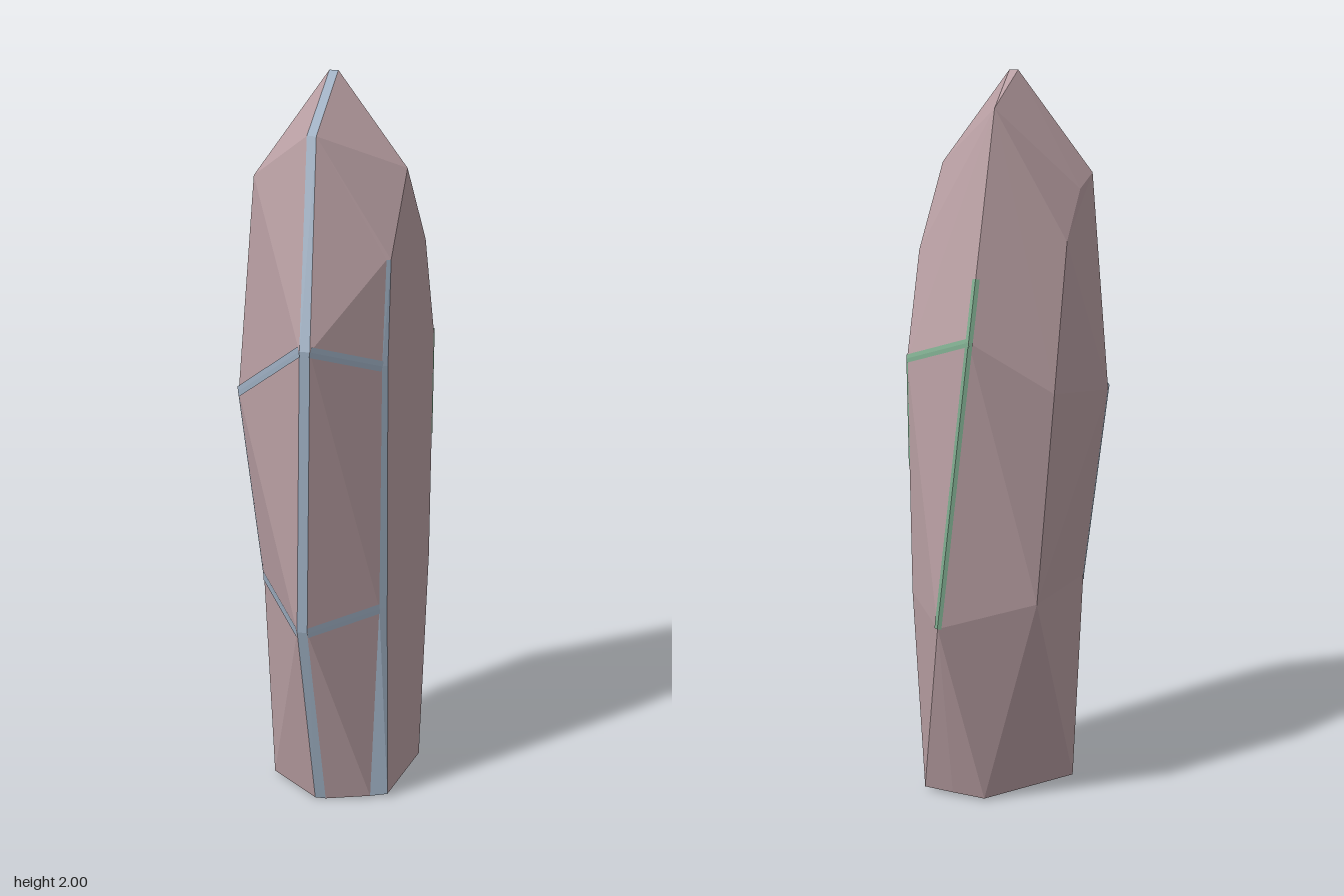
import * as THREE from 'three';

const rock = new THREE.MeshStandardMaterial({ color: 0xbaa0a4 });
rock.name = 'dusty pink stone';
const blue = new THREE.MeshStandardMaterial({ color: 0x9cadc0, side: THREE.DoubleSide });
blue.name = 'pale blue edge';
const green = new THREE.MeshStandardMaterial({ color: 0x7fac8f, side: THREE.DoubleSide });
green.name = 'green edge';

// Cross-sections from base to shoulder; columns run: front bevel (2),
// front right bevel (2), back right, back, back left, front left
const rings = [
  [[0.03, 0, 0.198], [0.06, 0, 0.195], [0.175, 0.005, 0.148], [0.22, 0.01, 0.13],
    [0.22, 0.01, -0.165], [0.13, 0.01, -0.18], [0.035, 0.005, -0.182], [-0.135, 0.005, 0.08]],
  [[0.027, 0.54, 0.33], [0.055, 0.54, 0.328], [0.203, 0.57, 0.162], [0.22, 0.57, 0.145],
    [0.22, 0.6, -0.24], [0.1, 0.54, -0.354], [-0.14, 0.6, -0.238], [-0.16, 0.6, 0.09]],
  [[0.046, 1.32, 0.357], [0.074, 1.32, 0.355], [0.208, 1.25, 0.167], [0.22, 1.25, 0.155],
    [0.22, 1.25, -0.26], [0.008, 1.32, -0.35], [-0.176, 1.17, -0.205], [-0.222, 1.13, 0.11]],
  [[0.007, 1.85, 0.19], [0.033, 1.85, 0.19], [0.21, 1.53, 0.143], [0.22, 1.53, 0.135],
    [0.22, 1.53, -0.17], [0, 1.91, -0.18], [-0.173, 1.56, -0.1], [-0.176, 1.725, 0.1]],
];
const N = 8;
const FRONT_L = 0, FRONT_R = 1, RIGHT_A = 2, RIGHT_B = 3, BACK_RIGHT = 4, BACK = 5, BACK_LEFT = 6, LEFT = 7;
const id = (ring, col) => ring * N + (col % N);

// Ridge points that close the top
const ridge = [[0.005, 2, 0.01], [0.03, 2, 0.01], [0.22, 1.75, 0], [-0.175, 1.69, 0]];
const [TOP_L, TOP_R, PEAK_R, PEAK_L] = [32, 33, 34, 35];
const points = [...rings.flat(), ...ridge].map((p) => new THREE.Vector3(...p));

// Triangles; every quad is split along its outward-folding diagonal
function quad(a, b, c, d) {
  const plane = new THREE.Plane().setFromCoplanarPoints(points[a], points[b], points[c]);
  return plane.distanceToPoint(points[d]) <= 0 ? [[a, b, c], [a, c, d]] : [[a, b, d], [b, c, d]];
}

function buildTriangles() {
  const stone = [], bevel = [];
  for (let r = 0; r < 3; r++) {
    for (let c = 0; c < N; c++) {
      const target = c === FRONT_L || c === RIGHT_A ? bevel : stone;
      target.push(...quad(id(r, c), id(r, c + 1), id(r + 1, c + 1), id(r + 1, c)));
    }
  }
  // pointed top
  const s = (col) => id(3, col);
  bevel.push(...quad(s(FRONT_L), s(FRONT_R), TOP_R, TOP_L));
  stone.push(
    [s(FRONT_R), s(RIGHT_A), s(RIGHT_B)],
    ...quad(s(FRONT_R), s(RIGHT_B), PEAK_R, TOP_R),
    [s(RIGHT_B), s(BACK_RIGHT), PEAK_R],
    ...quad(s(BACK_RIGHT), s(BACK), TOP_R, PEAK_R),
    [s(BACK), TOP_L, TOP_R],
    ...quad(s(BACK), s(BACK_LEFT), PEAK_L, TOP_L),
    [s(BACK_LEFT), s(LEFT), PEAK_L],
    ...quad(s(LEFT), s(FRONT_L), TOP_L, PEAK_L),
  );
  // base
  for (let c = 1; c < N - 1; c++) stone.push([0, c + 1, c]);
  return { stone, bevel };
}

function meshFrom(vectors, material, name) {
  const geo = new THREE.BufferGeometry().setFromPoints(vectors);
  geo.computeVertexNormals();
  const mesh = new THREE.Mesh(geo, material);
  mesh.name = name;
  return mesh;
}

// Thin ribbon folded over the edge i-j, covering the part up to fraction t
function edgeStrip(tris, i, j, width, material, name, t = 1) {
  const a = points[i].clone();
  const b = a.clone().lerp(points[j], t);
  const along = b.clone().sub(a).normalize();
  const touching = tris.filter((q) => q.includes(i) && q.includes(j));
  const lift = new THREE.Vector3();
  for (const q of touching) {
    lift.add(new THREE.Triangle(...q.map((k) => points[k])).getNormal(new THREE.Vector3()));
  }
  lift.normalize().multiplyScalar(0.002);
  const v = [];
  for (const q of touching) {
    const d = points[q.find((k) => k !== i && k !== j)].clone().sub(a);
    d.addScaledVector(along, -d.dot(along)).setLength(width);
    const [p0, p1] = [a.clone().add(lift), b.clone().add(lift)];
    const [p2, p3] = [p1.clone().add(d), p0.clone().add(d)];
    const face = [p0, p1, p2, p0, p2, p3];
    // keep the ribbon facing outward
    const n = new THREE.Triangle(p0, p1, p2).getNormal(new THREE.Vector3());
    v.push(...(n.dot(lift) < 0 ? face.reverse() : face));
  }
  return meshFrom(v, material, name);
}

export function createModel() {
  const model = new THREE.Group();
  model.name = 'standingStone';
  const { stone, bevel } = buildTriangles();
  const corners = (tris) => tris.flat().map((k) => points[k]);
  model.add(meshFrom(corners(stone), rock, 'stoneBody'));
  model.add(meshFrom(corners(bevel), blue, 'frontBevels'));
  const tris = [...stone, ...bevel];

  // blue worn edges around the front
  for (const ring of [1, 2]) {
    model.add(edgeStrip(tris, id(ring, FRONT_R), id(ring, RIGHT_A), 0.014, blue, 'blueEdge'));
    model.add(edgeStrip(tris, id(ring, FRONT_L), id(ring, LEFT), 0.014, blue, 'blueEdge'));
  }
  model.add(edgeStrip(tris, id(1, LEFT), id(2, LEFT), 0.009, blue, 'blueEdge'));

  // green mossy edges on the back
  const greenEdges = [
    [id(1, BACK), id(2, BACK), 0.011, 1],
    [id(2, BACK), id(3, BACK), 0.012, 0.27],
    [id(2, BACK), id(2, BACK_RIGHT), 0.011, 1],
    [id(2, BACK_RIGHT), id(1, BACK_RIGHT), 0.009, 0.45],
  ];
  for (const [i, j, w, t] of greenEdges) model.add(edgeStrip(tris, i, j, w, green, 'greenEdge', t));
  return model;
}
